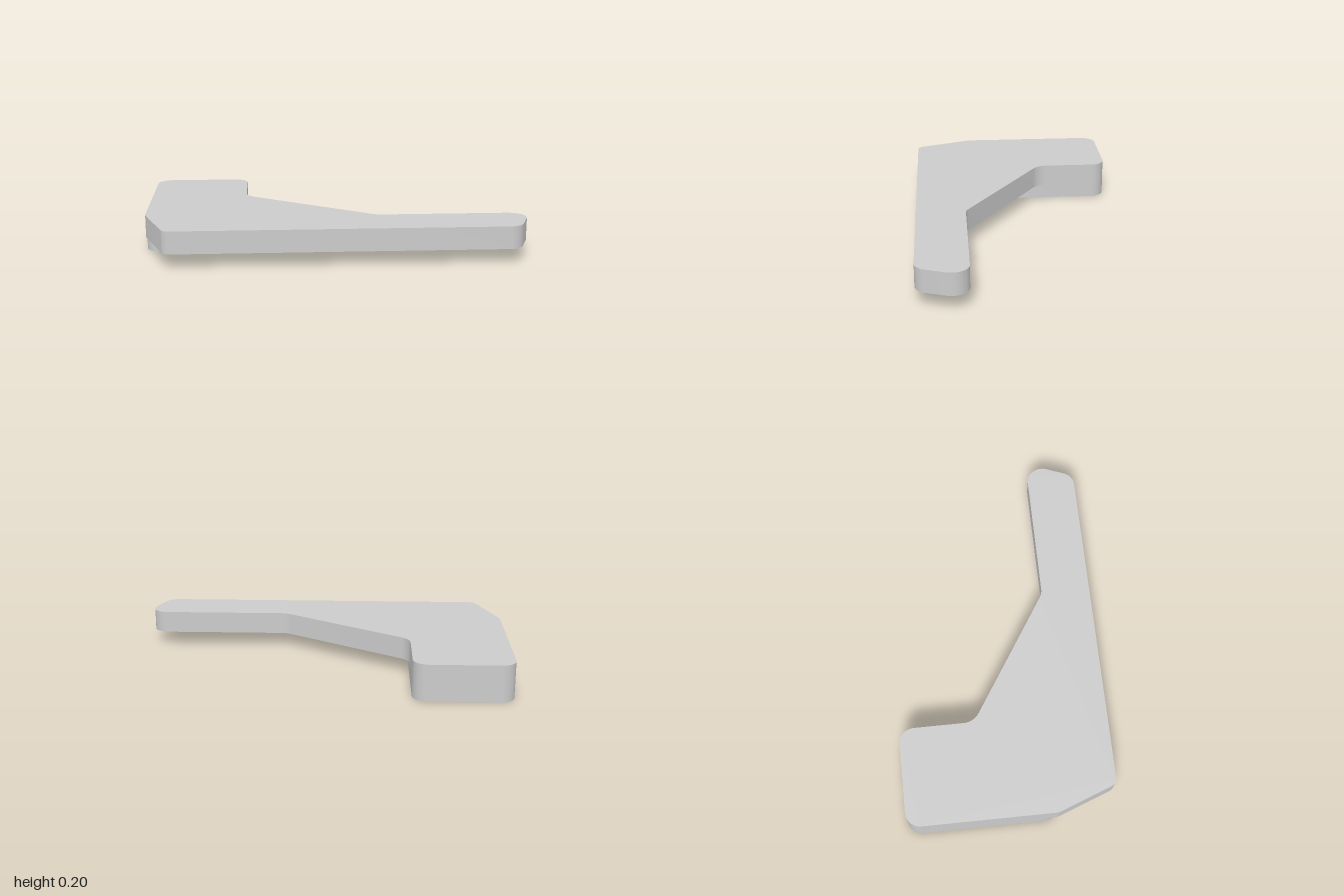
import * as THREE from 'three';
import { toCreasedNormals } from 'three/addons/utils/BufferGeometryUtils.js';

const material = new THREE.MeshStandardMaterial({ color: 0xcccccc });

// Closed outline from [x, z, radius] corners, each rounded by a tangent arc
function roundedOutline(corners) {
  const n = corners.length;
  const points = corners.map(([x, z]) => new THREE.Vector2(x, -z));
  const shape = new THREE.Shape();
  points.forEach((p, i) => {
    const r = corners[i][2];
    const a = points[(i + n - 1) % n].clone().sub(p).normalize();
    const b = points[(i + 1) % n].clone().sub(p).normalize();
    const half = Math.acos(a.dot(b)) / 2;
    const tangent = r / Math.tan(half);
    const start = p.clone().addScaledVector(a, tangent);
    const end = p.clone().addScaledVector(b, tangent);
    const c = p.clone().addScaledVector(a.clone().add(b).normalize(), r / Math.sin(half));
    if (i === 0) shape.moveTo(start.x, start.y);
    else shape.lineTo(start.x, start.y);
    shape.absarc(c.x, c.y, r,
      Math.atan2(start.y - c.y, start.x - c.x),
      Math.atan2(end.y - c.y, end.x - c.x),
      a.cross(b) > 0);
  });
  shape.closePath();
  return shape;
}

// Flat slab standing between two heights
function slab(name, corners, bottom, top) {
  const geometry = new THREE.ExtrudeGeometry(roundedOutline(corners), {
    depth: top - bottom, bevelEnabled: false, curveSegments: 8,
  });
  geometry.rotateX(-Math.PI / 2).translate(0, bottom, 0);
  const mesh = new THREE.Mesh(toCreasedNormals(geometry, 0.5), material);
  mesh.name = name;
  return mesh;
}

export function createModel() {
  const group = new THREE.Group();
  group.name = 'bracket';

  // Upper plate: wide block, sloping web and narrow arm
  group.add(slab('armPlate', [
    [-1, -0.555, 0.08],
    [-1, 0.235, 0.05],
    [-0.88, 0.555, 0.05],
    [0.936, 0.555, 0.08],
    [1.038, 0.29, 0.085],
    [0.222, 0.29, 0.1],
    [-0.475, -0.155, 0.1],
    [-0.475, -0.555, 0.08],
  ], 0.08, 0.2));

  // Lower pad under the wide block
  group.add(slab('basePad', [
    [-1, -0.555, 0.08],
    [-1, 0.237, 0.07],
    [-0.475, 0.237, 0.07],
    [-0.475, -0.555, 0.08],
  ], 0, 0.08));

  return group;
}
